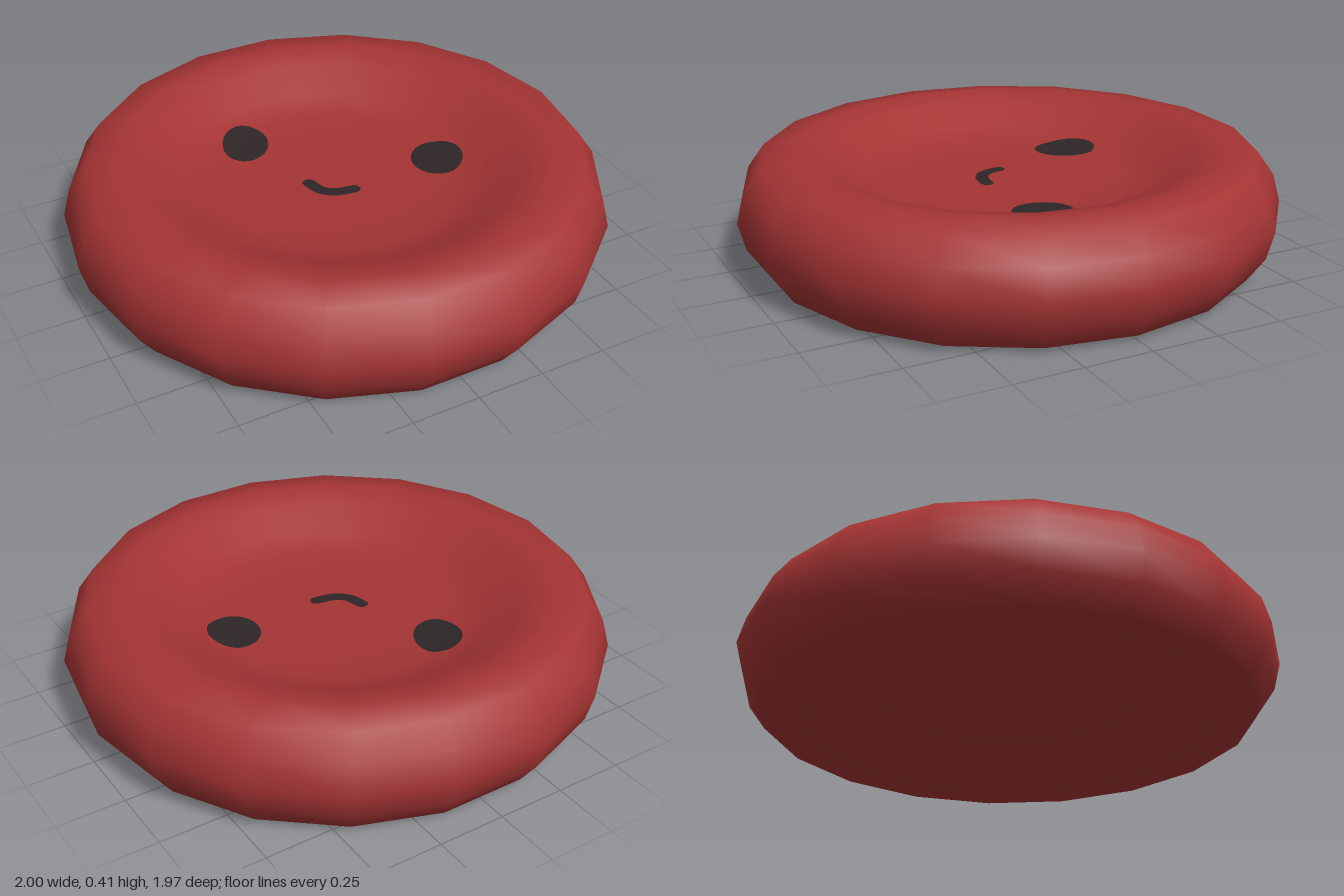
import * as THREE from 'three';

const MID = 0.207;
const SIDES = 18;
// Upper half of the profile, [radius, height above the middle], centre to rim
const PROFILE = [[0, 0.068], [0.25, 0.069], [0.45, 0.075], [0.57, 0.11], [0.68, 0.18],
  [0.79, 0.207], [0.91, 0.19], [0.973, 0.102], [1, 0]];

// Height of the top surface at a point in the dish
function surfaceY(x, z) {
  const r = Math.hypot(x, z) / Math.cos(Math.PI / SIDES);
  const i = Math.max(1, PROFILE.findIndex(p => p[0] >= r));
  const [r0, h0] = PROFILE[i - 1], [r1, h1] = PROFILE[i];
  return MID + h0 + (h1 - h0) * (r - r0) / (r1 - r0);
}

// Lay a flat shape (already in x, z) just above the dish
function drape(geometry) {
  geometry.rotateX(-Math.PI / 2);
  const p = geometry.attributes.position;
  for (let i = 0; i < p.count; i++) p.setY(i, surfaceY(p.getX(i), p.getZ(i)) + 0.006);
  geometry.computeVertexNormals();
  return geometry;
}

function eyeGeometry(x, z, rx, ry, tilt) {
  const g = new THREE.CircleGeometry(1, 24);
  g.scale(rx, ry, 1).rotateZ(tilt).translate(x, -z, 0);
  return drape(g);
}

// Curved stroke with round ends
function mouthGeometry() {
  const half = 0.024, n = 12, outline = [];
  const curve = new THREE.SplineCurve([[-0.107, 0.012], [-0.09, -0.05], [-0.045, -0.088], [0.022, -0.1]]
    .map(p => new THREE.Vector2(...p)));
  const add = (t, turn) => {
    const c = curve.getPoint(t), d = curve.getTangent(t);
    const a = Math.atan2(d.y, d.x) + turn;
    outline.push(new THREE.Vector2(c.x + half * Math.cos(a), c.y + half * Math.sin(a)));
  };
  for (let i = 0; i <= n; i++) add(i / n, -Math.PI / 2);
  for (let i = 1; i < 6; i++) add(1, -Math.PI / 2 + i * Math.PI / 6);
  for (let i = n; i >= 0; i--) add(i / n, Math.PI / 2);
  for (let i = 1; i < 6; i++) add(0, Math.PI / 2 + i * Math.PI / 6);
  return drape(new THREE.ShapeGeometry(new THREE.Shape(outline)));
}

export function createModel() {
  const red = new THREE.MeshStandardMaterial({ color: 0xa53434 });
  red.name = 'cell red';
  const dark = new THREE.MeshStandardMaterial({ color: 0x2e2626 });
  dark.name = 'face dark';
  const group = new THREE.Group();
  group.name = 'bloodCell';
  const add = (name, geometry, material) => {
    const mesh = new THREE.Mesh(geometry, material);
    mesh.name = name;
    group.add(mesh);
  };

  // Body: a disc dished on both sides
  const lower = PROFILE.map(([r, h]) => new THREE.Vector2(r, MID - h));
  const upper = PROFILE.slice(0, -1).reverse().map(([r, h]) => new THREE.Vector2(r, MID + h));
  add('body', new THREE.LatheGeometry([...lower, ...upper], SIDES, Math.PI / 2), red);

  // Face, turned a little on the upper dish
  add('rightEye', eyeGeometry(-0.205, -0.353, 0.087, 0.117, -0.5), dark);
  add('leftEye', eyeGeometry(0.393, 0.068, 0.097, 0.11, -0.4), dark);
  add('mouth', mouthGeometry(), dark);
  return group;
}
